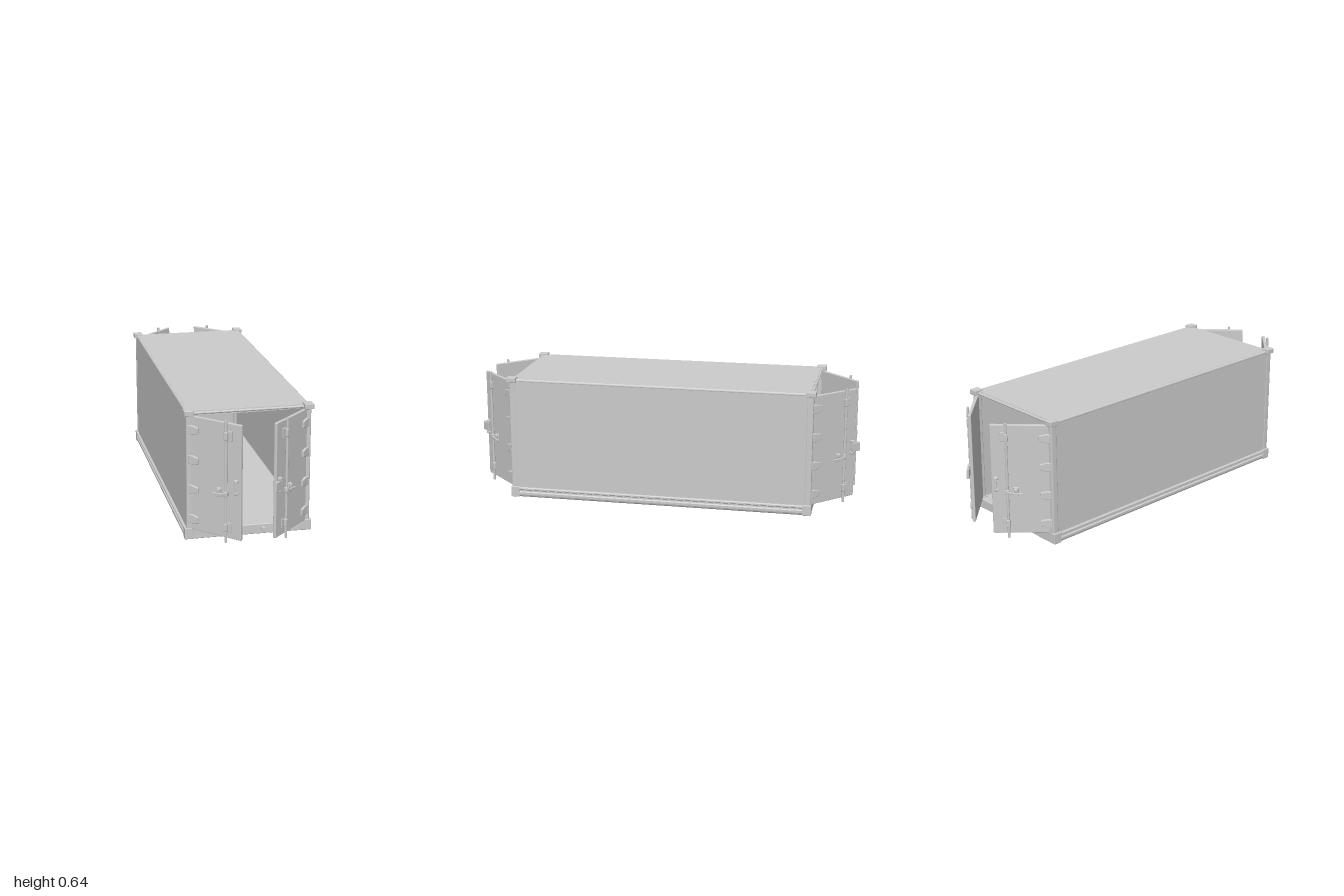
import * as THREE from 'three';
import { RoundedBoxGeometry } from 'three/addons/geometries/RoundedBoxGeometry.js';

const mat = new THREE.MeshStandardMaterial({ color: 0xcccccc });

function add(parent, name, geo, x = 0, y = 0, z = 0) {
  const m = new THREE.Mesh(geo, mat);
  m.name = name;
  m.position.set(x, y, z);
  parent.add(m);
  return m;
}
const box = (w, h, d) => new THREE.BoxGeometry(w, h, d);
const rbox = (w, h, d, r) => new RoundedBoxGeometry(w, h, d, 3, r);
const rod = (r, h) => new THREE.CylinderGeometry(r, r, h, 14);

// Extruded outline, centred on its depth
function plate(points, depth, bevel = 0) {
  const shape = new THREE.Shape(points.map(([x, y]) => new THREE.Vector2(x, y)));
  const geo = new THREE.ExtrudeGeometry(shape, {
    depth: depth - 2 * bevel, bevelEnabled: bevel > 0,
    bevelSize: bevel, bevelThickness: bevel, bevelOffset: -bevel, bevelSegments: 2,
  });
  return geo.translate(0, 0, -depth / 2 + bevel);
}

// One door: hinge at the local origin, leaf runs along dir * x, outside is +z
function createDoor(dir, hasLockBox) {
  const door = new THREE.Group();
  door.name = 'door';
  add(door, 'doorPanel', rbox(0.283, 0.565, 0.016, 0.004), dir * 0.1415, 0.334, 0);

  // Hinge blades tapering away from the post
  for (const y of [0.107, 0.255, 0.403, 0.55]) {
    const blade = [[-0.006, -0.022], [0.018, -0.022], [0.05, -0.014], [0.05, 0.014], [0.018, 0.022], [-0.006, 0.022]];
    add(door, 'hingeBlade', plate(blade.map(([x, v]) => [dir * x, v]), 0.018, 0.003), 0, y, 0.009);
    add(door, 'hingeKnuckle', rod(0.011, 0.042), 0, y, 0.006);
  }

  // Locking bar with its guides
  add(door, 'lockingBar', rod(0.0065, 0.596), dir * 0.206, 0.33, 0.018);
  for (const y of [0.107, 0.555]) {
    add(door, 'barGuidePlate', rbox(0.034, 0.048, 0.006, 0.002), dir * 0.217, y, 0.01);
    add(door, 'barGuideClamp', rbox(0.019, 0.04, 0.018, 0.004), dir * 0.206, y, 0.017);
  }

  // Latch and its lever
  add(door, 'latchPlate', rbox(0.026, 0.046, 0.008, 0.003), dir * 0.166, 0.273, 0.011);
  add(door, 'latchCatch', rbox(0.016, 0.018, 0.016, 0.004), dir * 0.166, 0.284, 0.018);
  add(door, 'barCollar', rbox(0.019, 0.026, 0.018, 0.004), dir * 0.206, 0.273, 0.018);
  const lever = [[0.21, 0.279], [0.21, 0.269], [0.19, 0.263], [0.132, 0.262], [0.132, 0.27], [0.185, 0.274]];
  add(door, 'latchLever', plate(lever.map(([x, y]) => [dir * x, y]), 0.008, 0.0015), 0, 0, 0.024);

  // Grab handle
  add(door, 'handleGrip', rbox(0.012, 0.07, 0.007, 0.003), dir * 0.262, 0.314, 0.02);
  for (const y of [0.284, 0.344])
    add(door, 'handleFoot', rbox(0.021, 0.012, 0.018, 0.003), dir * 0.26, y, 0.014);

  if (hasLockBox) add(door, 'lockBox', rbox(0.05, 0.046, 0.012, 0.002), dir * 0.279, 0.314, 0.018);
  return door;
}

// One open end: frame, sill, buffers and a pair of doors. lockSide is the x side with the lock box
function createEnd(lockSide) {
  const end = new THREE.Group();
  end.name = 'containerEnd';
  add(end, 'sill', rbox(0.624, 0.05, 0.035, 0.004), 0, 0.025, 0.7675);

  // Header with a slightly bowed lower edge
  const header = new THREE.Shape();
  header.moveTo(-0.28, 0.617);
  header.quadraticCurveTo(0, 0.608, 0.28, 0.617);
  header.lineTo(0.28, 0.631);
  header.lineTo(-0.28, 0.631);
  add(end, 'header', new THREE.ExtrudeGeometry(header, { depth: 0.022, bevelEnabled: false, curveSegments: 16 }), 0, 0, 0.75);
  add(end, 'headerTube', rod(0.006, 0.56), 0, 0.624, 0.772).rotation.z = Math.PI / 2;

  for (const side of [-1, 1]) {
    add(end, 'cornerPost', rbox(0.028, 0.59, 0.034, 0.007), side * 0.288, 0.33, 0.767);
    add(end, 'topCorner', rbox(0.045, 0.026, 0.05, 0.003), side * 0.2895, 0.628, 0.77);
    add(end, 'bottomCorner', rbox(0.042, 0.055, 0.045, 0.003), side * 0.291, 0.0275, 0.764);
    add(end, 'buffer', rbox(0.018, 0.016, 0.02, 0.003), side * 0.072, 0.029, 0.79);
    const door = createDoor(-side, side === lockSide);
    door.position.set(side * 0.278, 0, 0.775);
    door.rotation.y = side * Math.PI / 4;
    end.add(door);
  }
  return end;
}

export function createModel() {
  const model = new THREE.Group();
  model.name = 'shippingContainer';

  // Shell
  add(model, 'floor', box(0.6, 0.046, 1.54), 0, 0.0235, 0);
  add(model, 'roof', box(0.58, 0.012, 1.53), 0, 0.627, 0);
  for (const side of [-1, 1]) {
    add(model, 'sideWall', box(0.012, 0.58, 1.53), side * 0.294, 0.335, 0);
    add(model, 'topRail', rod(0.009, 1.53), side * 0.292, 0.624, 0).rotation.x = Math.PI / 2;
    // Grooved bottom rail
    const rail = [[0.28, 0], [0.3, 0], [0.309, 0.006], [0.312, 0.014], [0.312, 0.025], [0.306, 0.03],
      [0.306, 0.037], [0.312, 0.041], [0.312, 0.048], [0.308, 0.052], [0.288, 0.052]];
    add(model, 'bottomRail', plate(rail.map(([x, y]) => [side * x, y]), 1.54));
  }

  // Both ends carry the lock box on the +x door
  model.add(createEnd(1));
  const back = createEnd(-1);
  back.rotation.y = Math.PI;
  model.add(back);
  return model;
}
